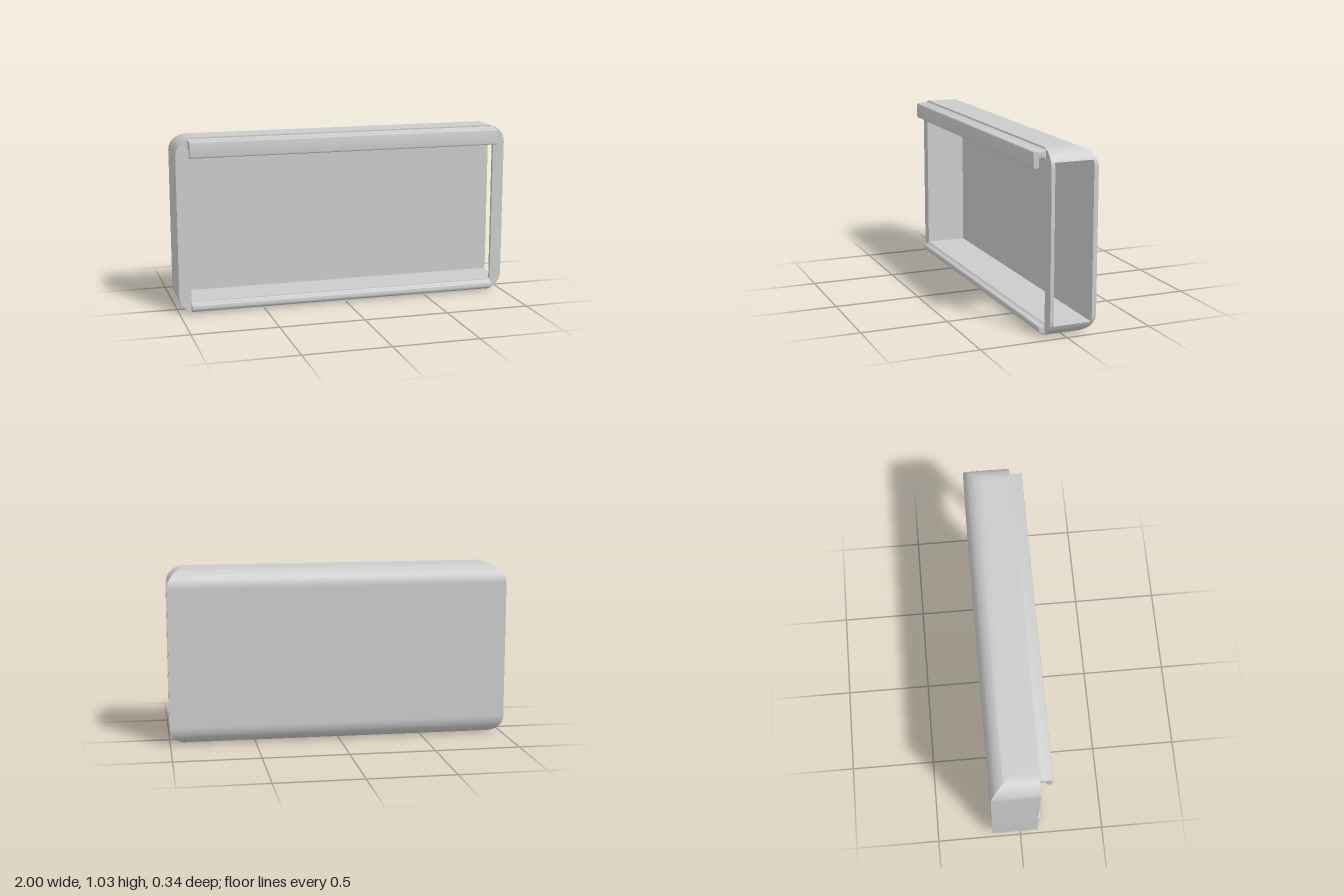
import * as THREE from 'three';
import { toCreasedNormals } from 'three/addons/utils/BufferGeometryUtils.js';

const CY = 0.515, HX = 1, HY = 0.515;      // body centre height and half sizes
const R = 0.11;                            // radius of corners and back edges
const IX = 0.93, IY = 0.445;               // half sizes of the inner space
const BACK = -0.172, FLOOR = -0.146, LIP = 0.08, FRONT = 0.101;
const N = 12;
const mat = new THREE.MeshStandardMaterial({ color: 0xcccccc });

function add(group, name, geometry, crease = 0.5) {
  const mesh = new THREE.Mesh(toCreasedNormals(geometry, crease), mat);
  mesh.name = name;
  group.add(mesh);
  return mesh;
}

// Skin between closed rings of points
function loft(rings) {
  const n = rings[0].length, index = [];
  for (let i = 0; i < rings.length - 1; i++) {
    for (let j = 0; j < n; j++) {
      const a = i * n + j, b = i * n + (j + 1) % n;
      index.push(a, b, b + n, a, b + n, a + n);
    }
  }
  const g = new THREE.BufferGeometry().setFromPoints(rings.flat());
  g.setIndex(index);
  return g;
}

// Flat cap over a convex ring
function cap(ring, facing) {
  const s = new THREE.Shape(ring.map(p => new THREE.Vector2(p.x, p.y)));
  const g = new THREE.ShapeGeometry(s);
  if (facing < 0) g.rotateY(Math.PI);
  return g.translate(0, 0, ring[0].z);
}

// Body section at rounding angle t of the back edge; an open one is a C shape
function section(t, z, open) {
  const a0 = open ? Math.asin((IY - HY + R) / R) : 0;
  const pts = [];
  const corner = (sx, sy, from, to) => {
    for (let j = 0; j <= N; j++) {
      const a = from + (to - from) * j / N;
      pts.push(new THREE.Vector3(sx * (HX - R + R * Math.cos(a)),
        CY + sy * (HY - R + R * Math.sin(a)), z));
    }
  };
  corner(1, 1, a0, t);
  corner(-1, 1, t, 0);
  corner(-1, -1, 0, t);
  corner(1, -1, t, a0);
  if (open) {
    pts.push(new THREE.Vector3(-IX, CY - IY, z), new THREE.Vector3(-IX, CY + IY, z));
  }
  return pts;
}

function roundedRect(path, hx, hy, r) {
  path.moveTo(hx, CY - hy + r);
  path.absarc(hx - r, CY + hy - r, r, 0, Math.PI / 2);
  path.absarc(-hx + r, CY + hy - r, r, Math.PI / 2, Math.PI);
  path.absarc(-hx + r, CY - hy + r, r, Math.PI, Math.PI * 1.5);
  path.absarc(hx - r, CY - hy + r, r, Math.PI * 1.5, Math.PI * 2);
  return path;
}

// Profile with rounded corners; points are [z, y, radius]
function roundedProfile(points) {
  const s = new THREE.Shape(), n = points.length;
  points.forEach(([x, y, r], i) => {
    const p = new THREE.Vector2(x, y);
    const toward = k => {
      const q = new THREE.Vector2(points[k][0], points[k][1]).sub(p);
      return q.setLength(r).add(p);
    };
    const a = toward((i + n - 1) % n), b = toward((i + 1) % n);
    if (i) s.lineTo(a.x, a.y); else s.moveTo(a.x, a.y);
    if (r) s.quadraticCurveTo(x, y, b.x, b.y);
  });
  s.closePath();
  return s;
}

// Extrude a (z, y) profile along x between two positions
function alongX(shape, x0, x1, bevel = 0) {
  const g = new THREE.ExtrudeGeometry(shape, {
    depth: x1 - x0 - 2 * bevel, curveSegments: 6, bevelEnabled: bevel > 0,
    bevelSize: bevel, bevelThickness: bevel, bevelOffset: -bevel, bevelSegments: 3,
  });
  return g.translate(0, 0, x0 + bevel).rotateY(-Math.PI / 2).scale(-1, 1, -1).rotateY(Math.PI)
    .scale(1, 1, 1);
}

export function createModel() {
  const model = new THREE.Group();
  model.name = 'wallTray';

  // Back panel and walls share one rounded outer surface
  const zc = BACK + R;
  const tFloor = Math.acos((zc - FLOOR) / R);
  const ringAt = (t, open) => section(t, zc - R * Math.cos(t), open);
  const back = [], walls = [];
  for (let i = 0; i <= N; i++) {
    back.push(ringAt(tFloor * i / N, false));
    walls.push(ringAt(tFloor + (Math.PI / 2 - tFloor) * i / N, true));
  }
  walls.push(section(Math.PI / 2, zc + 0.005, true), section(Math.PI / 2, LIP, true));
  add(model, 'backEdge', loft(back));
  add(model, 'backPanel', new THREE.PlaneGeometry(2 * HX, 2 * (HY - R))
    .rotateY(Math.PI).translate(0, CY, BACK));
  add(model, 'innerFloor', cap(back[N], 1));
  add(model, 'walls', loft(walls));

  // Front rim, which leaves a thin post across the open side
  const rim = roundedRect(new THREE.Shape(), HX, HY, R);
  const hole = new THREE.Path();
  hole.moveTo(-IX, CY - IY);
  hole.lineTo(-IX, CY + IY);
  hole.lineTo(IX, CY + IY);
  hole.lineTo(IX, CY - IY);
  hole.closePath();
  rim.holes.push(hole);
  add(model, 'frontRim', new THREE.ExtrudeGeometry(rim,
    { depth: FRONT - LIP, bevelEnabled: false, curveSegments: N }).translate(0, 0, LIP));

  // Rounded corners of the side opening, next to the post
  for (const s of [1, -1]) {
    const f = 0.03, y = CY + s * IY;
    const fillet = new THREE.Shape();
    fillet.moveTo(LIP, y);
    fillet.lineTo(LIP - f, y);
    fillet.quadraticCurveTo(LIP, y, LIP, y - s * f);
    fillet.closePath();
    add(model, 'openingFillet', alongX(fillet, IX, 0.992));
  }

  // Hooked rail along the top of the rim
  const hook = roundedProfile([
    [0.085, 0.962, 0], [0.103, 0.962, 0], [0.112, 0.975, 0.008], [0.14, 0.975, 0.006],
    [0.14, 0.92, 0.01], [0.172, 0.92, 0.01], [0.172, 1.015, 0.014],
    [0.112, 1.015, 0.008], [0.103, 1.022, 0], [0.085, 1.022, 0],
  ]);
  add(model, 'topHook', alongX(hook, -0.93, 0.93, 0.004));

  // Small rounded rail along the bottom of the rim
  const nub = roundedProfile([
    [0.085, 0.008, 0], [0.103, 0.008, 0], [0.112, 0.018, 0.006], [0.133, 0.02, 0.012],
    [0.133, 0.055, 0.012], [0.112, 0.058, 0.006], [0.103, 0.067, 0], [0.085, 0.067, 0],
  ]);
  add(model, 'bottomRail', alongX(nub, -0.93, 0.93, 0.004));
  return model;
}
